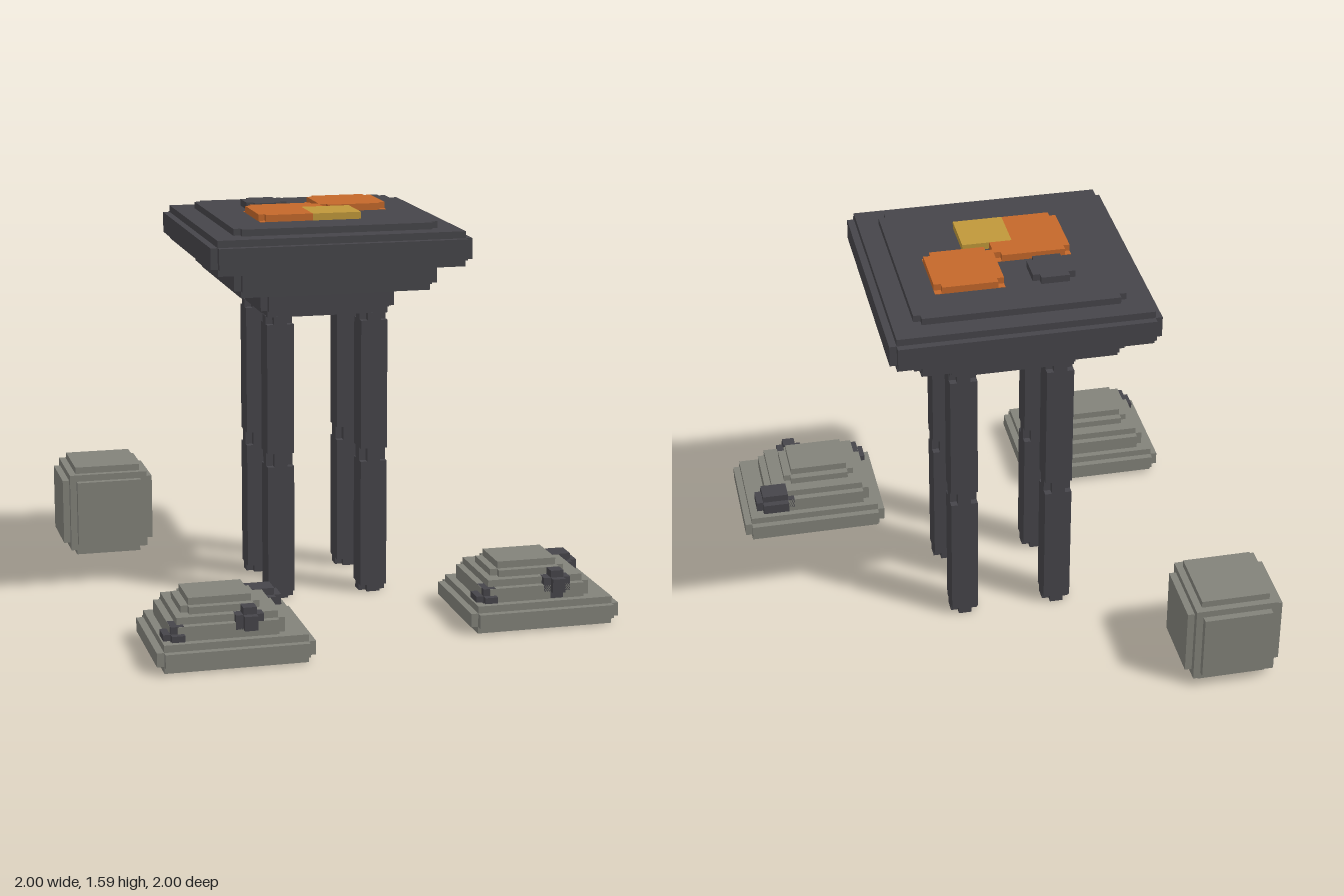
import * as THREE from 'three';
import { mergeGeometries } from 'three/addons/utils/BufferGeometryUtils.js';

const V = 0.028; // one voxel

function material(name, color) {
  const m = new THREE.MeshStandardMaterial({ color });
  m.name = name;
  return m;
}

// Box geometry from its limits [x0, x1, y0, y1, z0, z1]
function box([x0, x1, y0, y1, z0, z1]) {
  return new THREE.BoxGeometry(x1 - x0, y1 - y0, z1 - z0)
    .translate((x0 + x1) / 2, (y0 + y1) / 2, (z0 + z1) / 2);
}

// Box inset by whole voxels along each axis
function inset([x0, x1, y0, y1, z0, z1], a, b, c) {
  return box([x0 + a * V, x1 - a * V, y0 + b * V, y1 - b * V, z0 + c * V, z1 - c * V]);
}

// Block with a one-voxel step along all edges
const stepped = (l) => [inset(l, 0, 1, 1), inset(l, 1, 0, 1), inset(l, 1, 1, 0)];
// Block with a two-step bevel along all edges
const beveled = (l) => [inset(l, 0, 2, 2), inset(l, 2, 0, 2), inset(l, 2, 2, 0), inset(l, 1, 1, 1)];
// Plate with only its upright corners notched
const notched = (l) => [inset(l, 1, 0, 0), inset(l, 0, 0, 1)];

export function createModel() {
  const dark = material('dark stone', 0x46454a);
  const grey = material('grey stone', 0x82827a);
  const orange = material('ember orange', 0xc4682a);
  const yellow = material('flame yellow', 0xc0983a);

  const model = new THREE.Group();
  const add = (parent, name, mat, parts) => {
    const mesh = new THREE.Mesh(mergeGeometries(parts), mat);
    mesh.name = name;
    parent.add(mesh);
  };

  // Stepped table top, from the lowest tier up
  const top = new THREE.Group();
  top.name = 'tableTop';
  model.add(top);
  add(top, 'lowerTier', dark, stepped([-0.305, 0.247, 1.172, 1.32, -0.36, 0.193]));
  add(top, 'middleTier', dark, stepped([-0.443, 0.385, 1.282, 1.43, -0.5, 0.33]));
  add(top, 'mainSlab', dark, stepped([-0.557, 0.497, 1.39, 1.53, -0.613, 0.44]));
  add(top, 'topPlate', dark, notched([-0.443, 0.385, 1.5, 1.557, -0.5, 0.33]));
  add(top, 'darkBump', dark, notched([-0.28, -0.112, 1.55, 1.585, -0.34, -0.17]));

  // Glowing patches; thin base tiles show in the notched corners
  const Y0 = 1.555, Y1 = 1.585, YT = 1.559;
  add(top, 'rightEmber', orange, [
    ...notched([0, 0.275, Y0, Y1, -0.335, -0.06]),
    box([0, 0.275, Y0, YT, -0.335, -0.06]),
  ]);
  add(top, 'leftEmber', orange, [
    box([-0.28, -0.09, Y0, Y1, -0.14, 0.162]),
    box([-0.305, -0.28, Y0, Y1, -0.112, 0.134]),
    box([-0.09, -0.028, Y0, Y1, -0.14, -0.03]),
    box([-0.028, 0, Y0, Y1, -0.112, -0.03]),
    box([-0.305, 0, Y0, YT, -0.14, 0.162]),
  ]);
  add(top, 'flame', yellow, [box([-0.09, 0.108, Y0, Y1, -0.03, 0.163])]);

  // Four legs with notched corners at foot, middle and head
  for (const x of [-0.28, 0.11]) {
    for (const z of [-0.332, 0.056]) {
      const at = (y0, y1) => [x, x + 0.11, y0, y1, z, z + 0.11];
      add(model, 'leg', dark, [
        ...notched(at(0, 1.175)),
        box(at(V, 0.555)),
        box(at(0.61, 1.142)),
      ]);
    }
  }

  // Cube boulder at the back
  add(model, 'boulder', grey, beveled([-1, -0.61, 0, 0.39, -1, -0.61]));

  // Two matching stepped rubble mounds
  for (const [dx, dz] of [[0, 0], [-1.277, 0.167]]) {
    const mound = new THREE.Group();
    mound.name = 'rubbleMound';
    mound.position.set(dx, 0, dz);
    model.add(mound);
    add(mound, 'base', grey, stepped([0.387, 0.997, 0, 0.11, 0.33, 0.833]));
    add(mound, 'moundTiers', grey, [
      ...stepped([0.445, 0.89, 0.05, 0.195, 0.385, 0.775]),
      ...notched([0.5, 0.805, 0.15, 0.222, 0.465, 0.715]),
      box([0.53, 0.772, 0.2, 0.25, 0.497, 0.685]),
    ]);
    add(mound, 'darkPebbles', dark, [
      ...stepped([0.775, 0.94, 0.1, 0.197, 0.357, 0.5]),
      ...stepped([0.418, 0.525, 0.088, 0.168, 0.665, 0.8]),
      ...stepped([0.695, 0.803, 0.112, 0.224, 0.695, 0.803]),
    ]);
  }

  return model;
}
